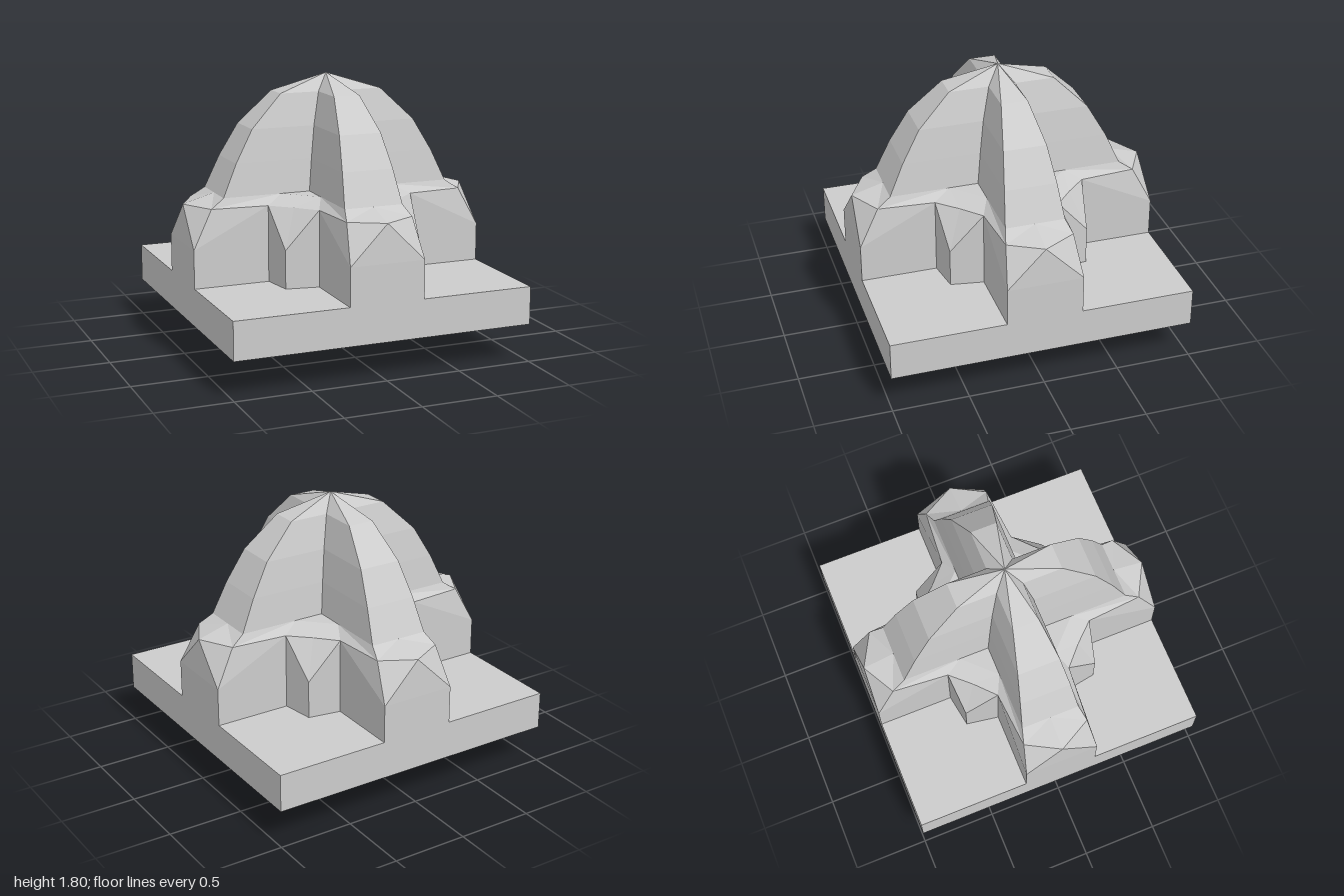
import * as THREE from 'three';

const material = new THREE.MeshStandardMaterial({ color: 0xcccccc, flatShading: true });

function addMesh(group, name, geometry, y = 0) {
  const mesh = new THREE.Mesh(geometry, material);
  mesh.name = name;
  mesh.position.y = y;
  group.add(mesh);
}

// Four-armed outline at one height: arm end, arm corner, notch, and diagonal
// corner, mirrored about the diagonal and turned to all four sides.
function crossRing({ y, end, corner, notch, diag }) {
  const half = [[end, 0], corner, notch, [diag, diag]];
  const quarter = [...half, [notch[1], notch[0]], [corner[1], corner[0]]];
  const ring = [];
  for (let side = 0; side < 4; side++) {
    const turn = -side * Math.PI / 2;
    for (const [x, z] of quarter) {
      ring.push(new THREE.Vector3(x, y, z).applyAxisAngle(new THREE.Vector3(0, 1, 0), turn));
    }
  }
  return ring;
}

// Skin between successive rings; the diagonals alternate so the halves mirror.
function loft(levels) {
  const rings = levels.map(crossRing);
  const positions = [];
  const tri = (...points) => points.forEach((p) => positions.push(p.x, p.y, p.z));
  for (let i = 0; i < rings.length - 1; i++) {
    const n = rings[i].length;
    for (let k = 0; k < n; k++) {
      const a = rings[i][k], b = rings[i][(k + 1) % n];
      const c = rings[i + 1][k], d = rings[i + 1][(k + 1) % n];
      if (k % 2 === 0) { tri(a, c, b); tri(b, c, d); }
      else { tri(a, c, d); tri(a, d, b); }
    }
  }
  const geometry = new THREE.BufferGeometry();
  geometry.setAttribute('position', new THREE.Float32BufferAttribute(positions, 3));
  geometry.computeVertexNormals();
  return geometry;
}

// Plain cross whose arms are a quarter as wide (to each side) as they are long
const cross = (y, r) => ({ y, end: r, corner: [r, r / 4], notch: [r / 2, r / 4], diag: r / 4 });

export function createModel() {
  const model = new THREE.Group();
  model.name = 'domedBuilding';

  // Tapered underside and square slab
  const underside = new THREE.CylinderGeometry(Math.SQRT2, Math.SQRT2 / 4, 0.25, 4, 1);
  underside.rotateY(Math.PI / 4);
  addMesh(model, 'taperedUnderside', underside, 0.125);
  addMesh(model, 'baseSlab', new THREE.BoxGeometry(2, 0.25, 2), 0.375);

  // Cross-shaped walls with corner blocks, bevelled in to the foot of the dome
  const wall = { end: 1, corner: [1, 0.25], notch: [0.5, 0.25], diag: 0.465 };
  addMesh(model, 'crossWalls', loft([
    { y: 0.5, ...wall },
    { y: 0.75, ...wall },
    { y: 1, end: 0.99, corner: [0.87, 0.22], notch: [0.5, 0.25], diag: 0.37 },
    { ...cross(1.06, 0.78), diag: 0.2925 },
    cross(1.06, 0.78),
  ]));

  // Ribbed dome: crosses shrinking toward the apex
  addMesh(model, 'ribbedDome', loft([
    cross(1.06, 0.78), cross(1.27, 0.685), cross(1.48, 0.565), cross(1.69, 0.35), cross(1.8, 0),
  ]));

  return model;
}
